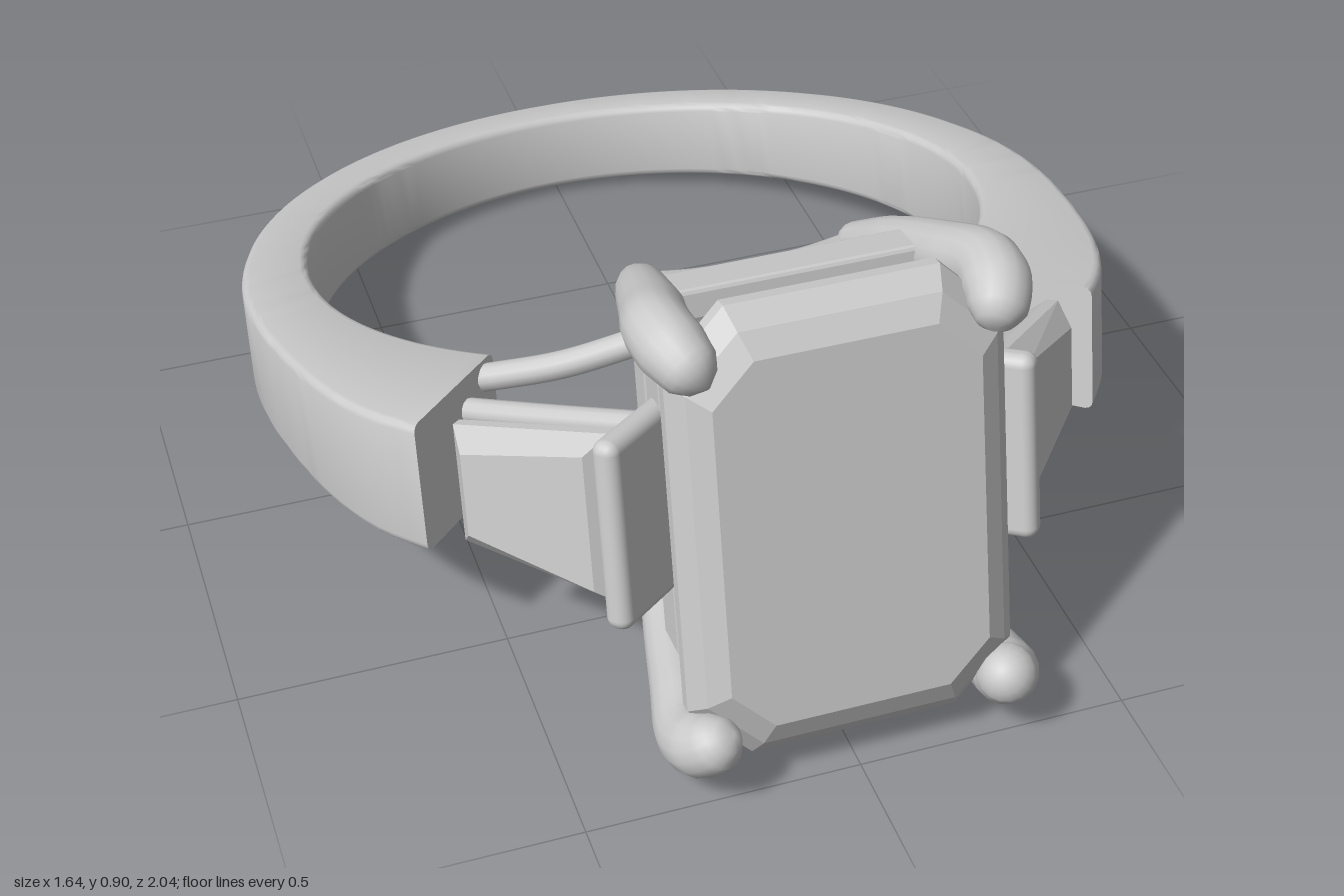
import * as THREE from 'three';
import { toCreasedNormals } from 'three/addons/utils/BufferGeometryUtils.js';
import { RoundedBoxGeometry } from 'three/addons/geometries/RoundedBoxGeometry.js';

const metal = new THREE.MeshStandardMaterial({ color: 0xcccccc });
const V = (x, y, z) => new THREE.Vector3(x, y, z);

function add(parent, name, geometry, x = 0, y = 0, z = 0) {
  const mesh = new THREE.Mesh(geometry, metal);
  mesh.name = name;
  mesh.position.set(x, y, z);
  parent.add(mesh);
  return mesh;
}

// Closed solid through a row of equal-length cross-sections, wound outwards
function loft(sections, crease = 0.6) {
  const tris = [];
  const n = sections[0].length;
  for (let i = 0; i < sections.length - 1; i++) {
    const a = sections[i], b = sections[i + 1];
    for (let j = 0; j < n; j++) {
      const k = (j + 1) % n;
      tris.push([a[j], a[k], b[k]], [a[j], b[k], b[j]]);
    }
  }
  const cap = (s, flip) => {
    const c = s.reduce((sum, p) => sum.add(p), V(0, 0, 0)).divideScalar(n);
    s.forEach((p, j) => {
      const q = s[(j + 1) % n];
      tris.push(flip ? [c, q, p] : [c, p, q]);
    });
  };
  cap(sections[0], true);
  cap(sections[sections.length - 1], false);
  const o = sections[0][0];
  let volume = 0;
  for (const [a, b, c] of tris) {
    volume += a.clone().sub(o).dot(b.clone().sub(o).cross(c.clone().sub(o)));
  }
  const points = tris.flatMap(([a, b, c]) => (volume < 0 ? [a, c, b] : [a, b, c]));
  return toCreasedNormals(new THREE.BufferGeometry().setFromPoints(points), crease);
}

// Outline of a rounded rectangle as [u, v] pairs
function roundedRect(hu, hv, r) {
  const out = [];
  [[1, 1], [-1, 1], [-1, -1], [1, -1]].forEach(([su, sv], q) => {
    for (let k = 0; k <= 3; k++) {
      const a = (q + k / 3) * Math.PI / 2;
      out.push([su * (hu - r) + r * Math.cos(a), sv * (hv - r) + r * Math.sin(a)]);
    }
  });
  return out;
}

// Round rod with a radius that changes along a curve
function rod(points, radius, steps = 32, sides = 16) {
  const curve = new THREE.CatmullRomCurve3(points);
  const frames = curve.computeFrenetFrames(steps, false);
  const sections = [];
  for (let i = 0; i <= steps; i++) {
    const p = curve.getPointAt(i / steps), r = radius(i / steps);
    sections.push(Array.from({ length: sides }, (_, j) => {
      const a = j / sides * Math.PI * 2;
      return p.clone().addScaledVector(frames.normals[i], r * Math.cos(a))
        .addScaledVector(frames.binormals[i], r * Math.sin(a));
    }));
  }
  return loft(sections, 0.9);
}

// Piecewise smooth lookup in [key, value] pairs
function lookup(table, x) {
  let i = 0;
  while (i < table.length - 2 && x > table[i + 1][0]) i++;
  const [x0, y0] = table[i], [x1, y1] = table[i + 1];
  return THREE.MathUtils.lerp(y0, y1, (x - x0) / (x1 - x0));
}

function shankGeometry() {
  const outer = [[0, 0.777], [45, 0.785], [75, 0.798], [90, 0.815], [100, 0.829], [109, 0.849],
    [116, 0.874], [122.5, 0.905], [128, 0.934], [133, 0.958], [139, 0.977]];
  const inner = 0.675, centre = -0.165, end = 139, steps = 120, sections = [];
  for (let i = 0; i <= steps; i++) {
    const deg = -end + 2 * end * i / steps;
    const a = THREE.MathUtils.degToRad(deg);
    const ro = lookup(outer, Math.abs(deg));
    const mid = (ro + inner) / 2;
    const z = centre - ro * Math.cos(a);
    const half = 0.083 + 0.042 * (z + 0.94) / 1.5;
    sections.push(roundedRect((ro - inner) / 2, half, 0.016).map(([u, v]) =>
      V((mid + u) * Math.sin(a), v, centre - (mid + u) * Math.cos(a))));
  }
  return loft(sections, 0.7);
}

// Step-cut stone: layers of [z, half width, half height, corner cut]
function stoneGeometry(layers) {
  return loft(layers.map(([z, x, y, c]) => [
    [x, y - c], [x - c, y], [c - x, y], [-x, y - c],
    [-x, c - y], [c - x, -y], [x - c, -y], [x, c - y],
  ].map(([u, v]) => V(u, v, z))), 0.1);
}

// Tapered side stone: layers of [z, inset]
function sideStoneGeometry(layers, m) {
  return loft(layers.map(([z, d]) => [
    V(m * (0.165 - d), 0.115 - d, z), V(m * (0.165 - d), d - 0.115, z),
    V(m * (d - 0.16), d - 0.165, z), V(m * (d - 0.16), 0.165 - d, z),
  ]), 0.1);
}

function buildHead(ring) {
  const head = new THREE.Group();
  head.name = 'head';
  ring.add(head);

  add(head, 'centreStone', stoneGeometry([
    [1.013, 0.235, 0.345, 0.075], [0.99, 0.272, 0.39, 0.095], [0.955, 0.298, 0.425, 0.11],
    [0.93, 0.298, 0.425, 0.11], [0.79, 0.22, 0.345, 0.08], [0.66, 0.09, 0.215, 0.04],
  ]));

  // Rectangular seat under the stone
  const outline = new THREE.Shape([[-0.26, -0.385], [0.26, -0.385], [0.26, 0.385], [-0.26, 0.385]]
    .map(([x, y]) => new THREE.Vector2(x, y)));
  outline.holes.push(new THREE.Path([[-0.2, -0.325], [-0.2, 0.325], [0.2, 0.325], [0.2, -0.325]]
    .map(([x, y]) => new THREE.Vector2(x, y))));
  add(head, 'stoneSeat', new THREE.ExtrudeGeometry(outline, {
    depth: 0.07, bevelThickness: 0.008, bevelSize: 0.008, bevelOffset: -0.008, bevelSegments: 2,
  }), 0, 0, 0.715);

  // Rear frame: two posts and two bars arched to the finger
  for (const s of [-1, 1]) {
    add(head, 'rearPost', new RoundedBoxGeometry(0.05, 0.56, 0.075, 2, 0.012), s * 0.195, 0, 0.525);
    const sections = [];
    for (let i = 0; i <= 16; i++) {
      const x = -0.2 + 0.4 * i / 16;
      const z = 0.56 - 1.0 * x * x;
      sections.push(roundedRect(0.04, 0.025, 0.012).map(([u, v]) => V(x, s * 0.27 + v, z + u)));
    }
    add(head, 'rearBar', loft(sections));
  }

  // Four claws sweeping from the rear frame over the stone corners
  const radii = [[0, 0.02], [0.03, 0.034], [0.25, 0.046], [0.6, 0.057], [0.85, 0.06],
    [0.94, 0.05], [0.985, 0.028], [1, 0.004]];
  for (const sx of [-1, 1]) for (const sy of [-1, 1]) {
    const path = [[0.2, 0.275, 0.485], [0.235, 0.33, 0.65], [0.265, 0.367, 0.81],
      [0.287, 0.385, 0.92], [0.275, 0.365, 0.99], [0.245, 0.325, 1.035]];
    add(head, 'claw', rod(path.map(([x, y, z]) => V(sx * x, sy * y, z)), t => lookup(radii, t), 48));
  }
}

function buildShoulder(ring, m) {
  const shoulder = new THREE.Group();
  shoulder.name = m > 0 ? 'leftShoulder' : 'rightShoulder';
  shoulder.position.set(m * 0.49, 0, 0.72);
  shoulder.rotation.y = m * 0.85;
  ring.add(shoulder);

  add(shoulder, 'sideStone', sideStoneGeometry(
    [[0.0, 0.035], [-0.035, 0], [-0.055, 0], [-0.15, 0.055]], m));
  add(shoulder, 'innerBracket', new RoundedBoxGeometry(0.05, 0.36, 0.23, 4, 0.022), m * -0.183, 0, -0.085);

  // Rails under the long edges of the side stone
  for (const s of [-1, 1]) {
    add(shoulder, 'stoneRail', rod([V(m * -0.18, s * 0.145, -0.12), V(0, s * 0.12, -0.12),
      V(m * 0.19, s * 0.095, -0.12)], () => 0.024, 8, 12));
  }

  // Gallery rails fanning from the shank end to the rear frame
  for (const s of [-1, 0, 1]) {
    add(ring, 'galleryRail', rod([V(m * 0.47, s * 0.09, 0.37), V(m * 0.34, s * 0.125, 0.45),
      V(m * 0.2, s * 0.18, 0.525)], () => (s ? 0.026 : 0.018), 12, 12));
  }
}

export function createModel() {
  const model = new THREE.Group();
  model.name = 'ring';
  // The band is modelled flat, then tipped so the stone looks slightly up
  const ring = new THREE.Group();
  ring.name = 'tiltedRing';
  ring.position.set(0, 0.28, -0.06);
  ring.rotation.x = THREE.MathUtils.degToRad(-12);
  model.add(ring);

  add(ring, 'shank', shankGeometry());
  buildHead(ring);
  for (const m of [-1, 1]) buildShoulder(ring, m);
  return model;
}
